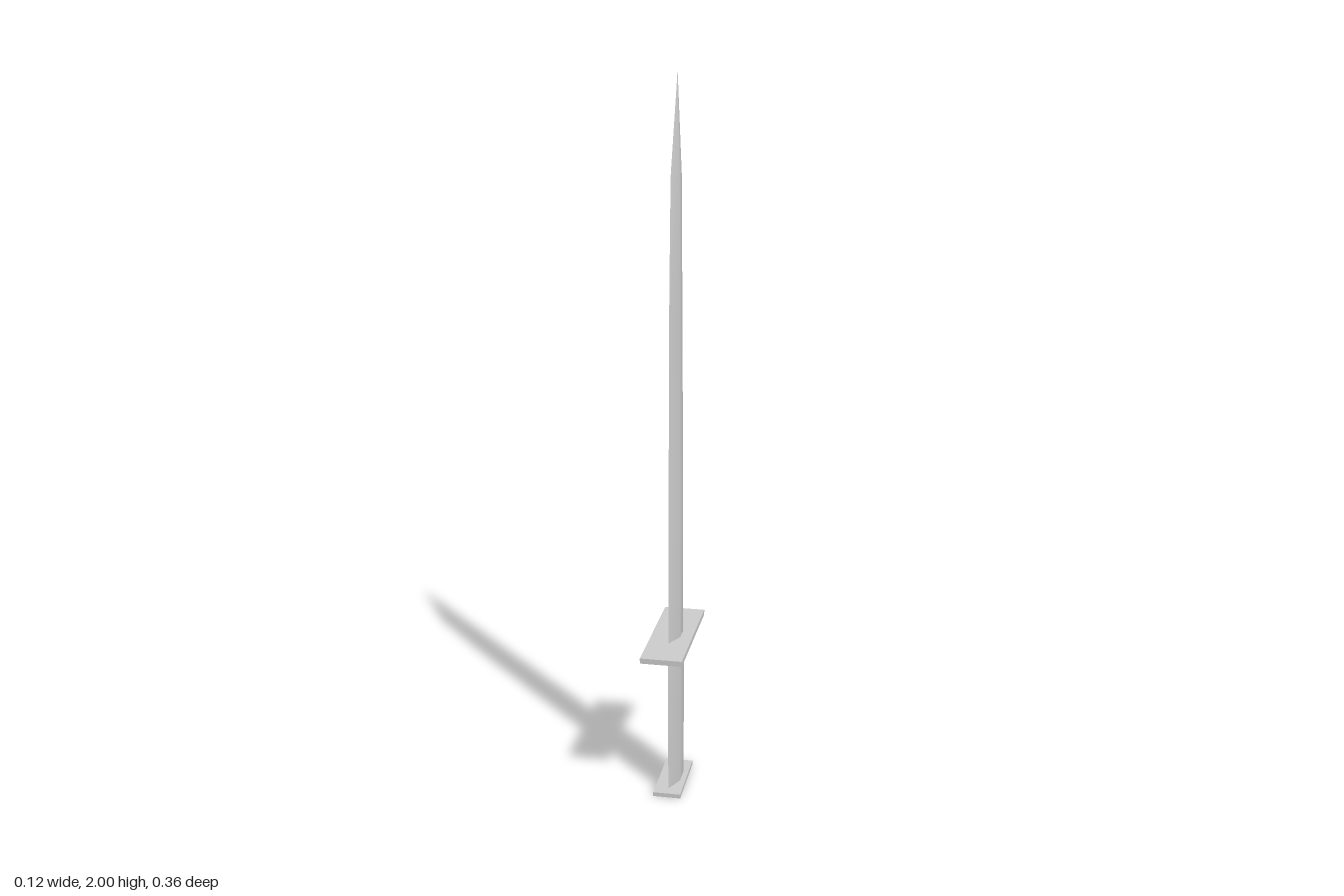
import * as THREE from 'three';

const metal = new THREE.MeshStandardMaterial({ color: 0xcccccc });
const shellMetal = new THREE.MeshStandardMaterial({ color: 0xcccccc, side: THREE.DoubleSide });

// Thin open shell bulging towards +x, lofted through rows of [y, zBack, zFront, depth].
// Each row has four points: back edge, two ridges, front edge.
function shell(name, rows) {
  const section = [[0, 0], [0.27, 1], [0.64, 1], [1, 0]]; // [share of width, share of depth]
  const n = section.length;
  const positions = [];
  const index = [];
  for (const [y, zBack, zFront, depth] of rows) {
    for (const [t, d] of section) positions.push(d * depth, y, zBack + t * (zFront - zBack));
  }
  for (let i = 0; i < rows.length - 1; i++) {
    const closesToPoint = rows[i + 1][1] === rows[i + 1][2];
    for (let j = 0; j < n - 1; j++) {
      const a = i * n + j, b = a + 1, c = a + n, d = c + 1;
      index.push(a, c, b);
      if (!closesToPoint) index.push(b, c, d);
    }
  }
  const geometry = new THREE.BufferGeometry();
  geometry.setAttribute('position', new THREE.Float32BufferAttribute(positions, 3));
  geometry.setIndex(index);
  geometry.computeVertexNormals();
  const mesh = new THREE.Mesh(geometry, shellMetal);
  mesh.name = name;
  return mesh;
}

// Flat rectangular plate centred on the axis
function plate(name, width, height, length, y) {
  const mesh = new THREE.Mesh(new THREE.BoxGeometry(width, height, length), metal);
  mesh.name = name;
  mesh.position.y = y;
  return mesh;
}

export function createModel() {
  const group = new THREE.Group();
  group.name = 'sword';

  // Blade: straight spine, gently curved edge, slanted point
  group.add(shell('blade', [
    [0.455, -0.06, 0.071, 0.024],
    [0.85, -0.06, 0.067, 0.023],
    [1.15, -0.06, 0.062, 0.021],
    [1.43, -0.06, 0.055, 0.019],
    [1.74, -0.06, 0.036, 0.016],
    [2.0, -0.06, -0.06, 0],
  ]));

  // Grip: swells slightly in the middle
  group.add(shell('grip', [
    [0.01, -0.071, 0.071, 0.024],
    [0.12, -0.078, 0.078, 0.024],
    [0.23, -0.082, 0.082, 0.024],
    [0.34, -0.079, 0.079, 0.024],
    [0.455, -0.072, 0.072, 0.024],
  ]));

  group.add(plate('guard', 0.116, 0.015, 0.362, 0.456));
  group.add(plate('pommel', 0.078, 0.012, 0.2, 0.006));
  return group;
}
